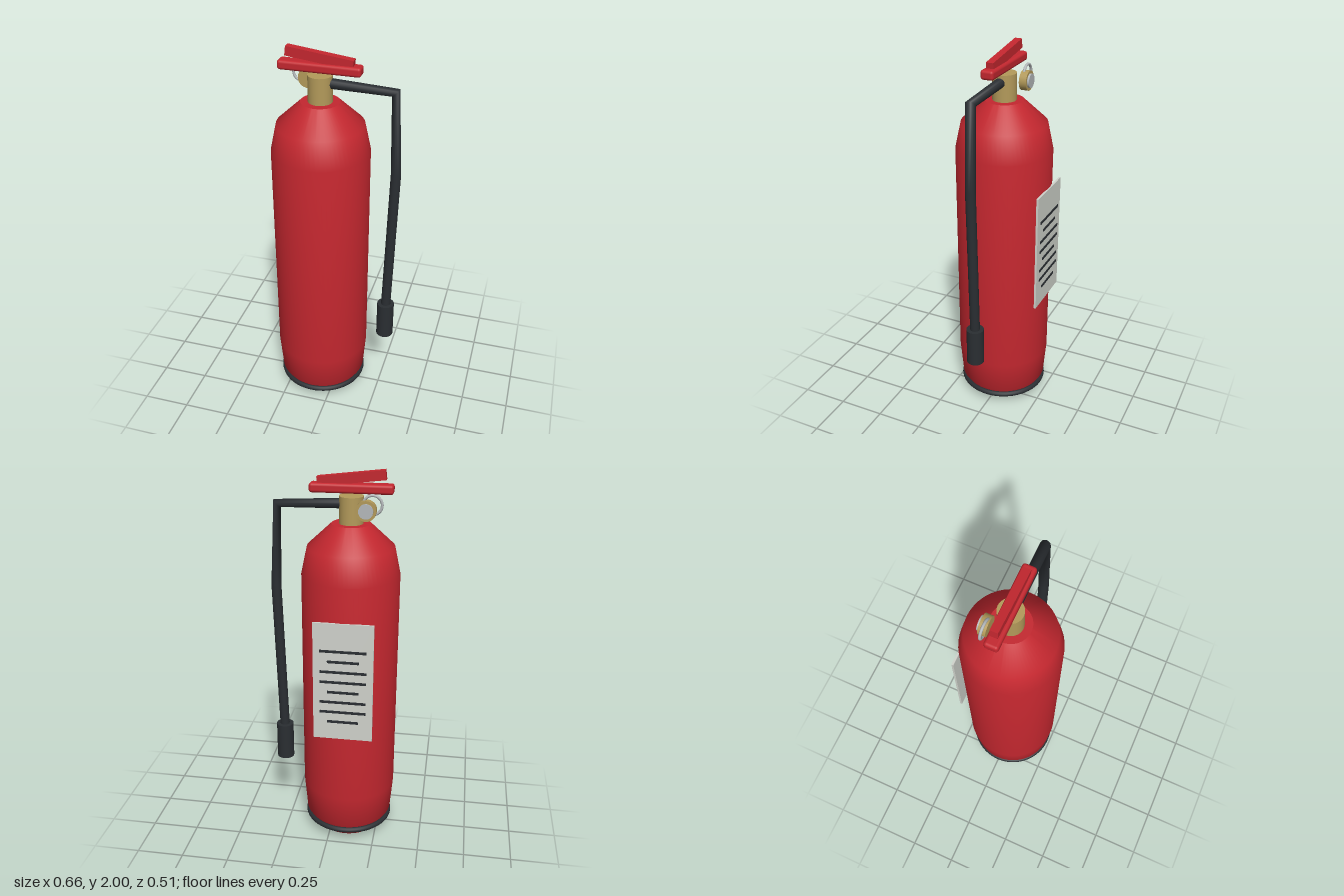
import * as THREE from 'three';
import { RoundedBoxGeometry } from 'three/addons/geometries/RoundedBoxGeometry.js';
import { toCreasedNormals } from 'three/addons/utils/BufferGeometryUtils.js';

const CX = -0.085; // cylinder axis
const CZ = 0.003;

const paint = (color) => new THREE.MeshStandardMaterial({ color });
const red = paint(0xc4272f);
const brass = paint(0xb39a5a);
const rubber = paint(0x2a2e32);
const steel = paint(0xb4b8ba);
const paper = paint(0xd0d3cc);

// Polyline whose samples land on its corners, with averaged tangents there
class Polyline extends THREE.Curve {
  constructor(points) {
    super();
    this.points = points;
    this.count = points.length - 1;
  }
  getPointAt(t) {
    const s = t * this.count;
    const i = Math.min(Math.floor(s), this.count - 1);
    return this.points[i].clone().lerp(this.points[i + 1], s - i);
  }
  getTangentAt(t, target = new THREE.Vector3()) {
    const e = 1e-3;
    const p = this.getPointAt(t);
    const before = p.clone().sub(this.getPointAt(Math.max(0, t - e))).normalize();
    const after = this.getPointAt(Math.min(1, t + e)).sub(p).normalize();
    return target.copy(before.add(after).normalize());
  }
}

export function createModel() {
  const group = new THREE.Group();
  const add = (name, geometry, material, x, y, z) => {
    const mesh = new THREE.Mesh(geometry, material);
    mesh.name = name;
    mesh.position.set(x, y, z);
    group.add(mesh);
    return mesh;
  };

  // Pressure cylinder
  const profile = [
    [0, 0], [0.17, 0], [0.235, 0.1], [0.25, 0.28],
    [0.25, 1.48], [0.22, 1.62], [0.098, 1.735], [0, 1.735],
  ].map(([r, y]) => new THREE.Vector2(r, y));
  add('tank', toCreasedNormals(new THREE.LatheGeometry(profile, 64), 0.7), red, CX, 0, CZ);

  // Rubber ring round the foot
  add('footRing', new THREE.TorusGeometry(0.225, 0.015, 12, 64), rubber, CX, 0.065, CZ)
    .rotation.x = Math.PI / 2;

  // Valve neck
  add('valveNeck', new THREE.CylinderGeometry(0.061, 0.061, 0.14, 32), brass, CX, 1.8, CZ);

  // Carrying handle and tilted squeeze lever
  add('handle', new RoundedBoxGeometry(0.413, 0.047, 0.068, 3, 0.014), red, CX, 1.907, CZ);
  add('lever', new THREE.BoxGeometry(0.336, 0.047, 0.038), red, CX, 1.956, CZ)
    .rotation.z = -0.12;

  // Pressure gauge facing the back
  add('gaugeBody', new THREE.CylinderGeometry(0.05, 0.05, 0.038, 32), brass, -0.168, 1.818, -0.077)
    .rotation.x = Math.PI / 2;
  add('gaugeFace', new THREE.CylinderGeometry(0.036, 0.036, 0.01, 32), steel, -0.168, 1.818, -0.101)
    .rotation.x = Math.PI / 2;

  // Safety pin ring
  add('pinRing', new THREE.TorusGeometry(0.046, 0.007, 10, 40), steel, -0.197, 1.844, -0.07);

  // Hose and nozzle
  const hosePath = new Polyline([
    [-0.06, 1.832], [0.285, 1.82], [0.302, 1.395], [0.277, 0.56],
  ].map(([x, y]) => new THREE.Vector3(x, y, 0)));
  add('hose', new THREE.TubeGeometry(hosePath, 3, 0.026, 16), rubber, 0, 0, CZ);
  add('nozzle', new THREE.CylinderGeometry(0.046, 0.046, 0.205, 32), rubber, 0.277, 0.483, CZ);

  // Instruction plate with printed bars on the back
  add('labelPlate', new THREE.BoxGeometry(0.305, 0.64, 0.011), paper, CX, 0.98, -0.2475);
  for (let i = 0; i < 8; i++) {
    const width = i % 3 === 1 ? 0.16 : 0.236;
    add('labelBar', new THREE.BoxGeometry(width, 0.013, 0.004), rubber, CX, 1.152 - i * 0.056, -0.255);
  }

  return group;
}
